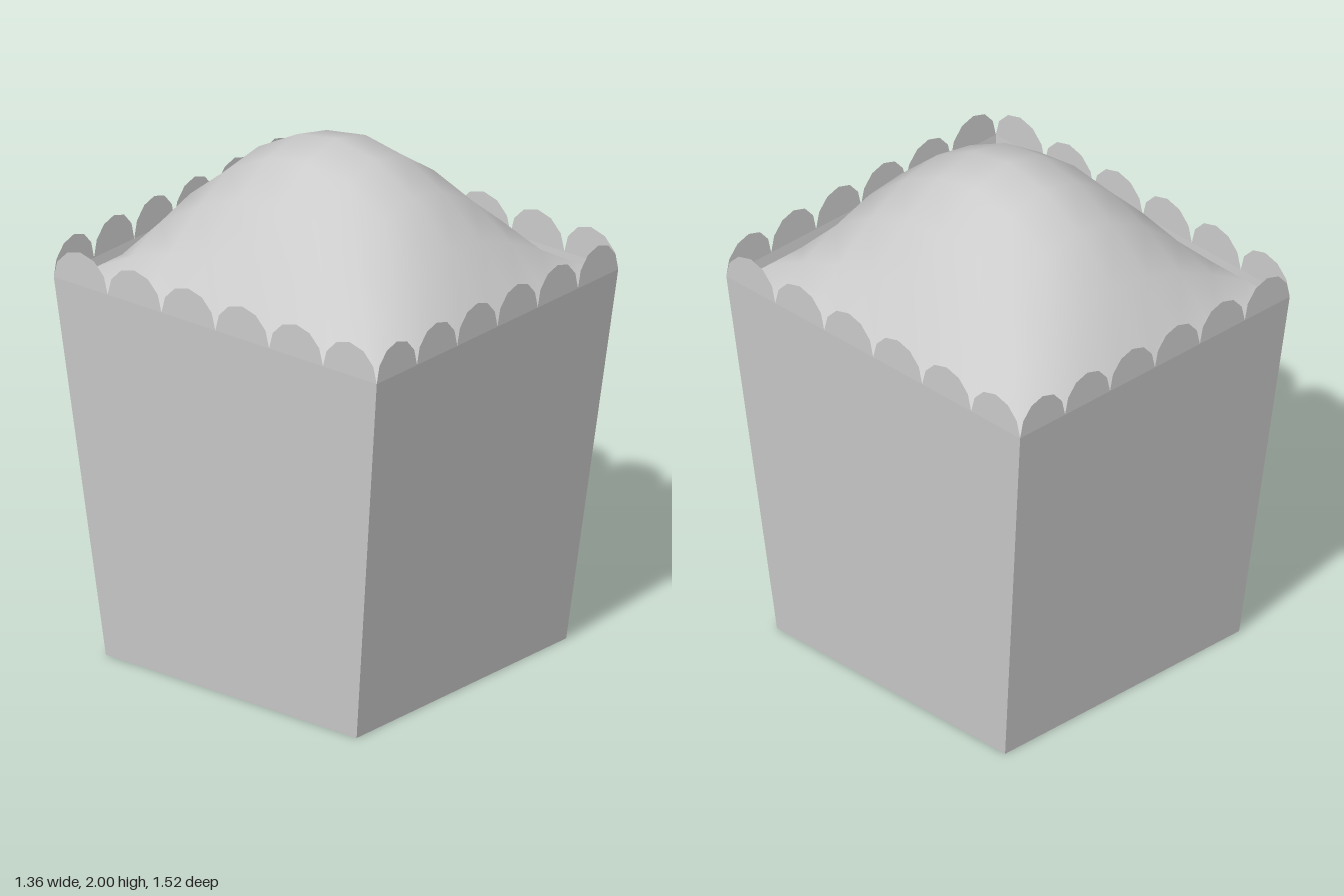
import * as THREE from 'three';

const RIM_Y = 1.47, SCALLOP_H = 0.13, SCALLOPS = 6;
const BASE = 0.59, TOP_X = 0.68, TOP_Z = 0.76;

const flat = new THREE.MeshStandardMaterial({ color: 0xcccccc, flatShading: true, side: THREE.DoubleSide });
const smooth = new THREE.MeshStandardMaterial({ color: 0xcccccc, side: THREE.DoubleSide });

function addPart(parent, name, geometry, material) {
  const mesh = new THREE.Mesh(geometry, material);
  mesh.name = name;
  parent.add(mesh);
  return mesh;
}

// Open four-sided tub that flares more to front and back than to the sides
function tubWalls() {
  const g = new THREE.CylinderGeometry(Math.SQRT2, Math.SQRT2, RIM_Y, 4, 1, true);
  g.rotateY(Math.PI / 4);
  g.translate(0, RIM_Y / 2, 0);
  const p = g.attributes.position;
  for (let i = 0; i < p.count; i++) {
    const top = p.getY(i) > RIM_Y / 2;
    p.setX(i, Math.sign(p.getX(i)) * (top ? TOP_X : BASE));
    p.setZ(i, Math.sign(p.getZ(i)) * (top ? TOP_Z : BASE));
  }
  g.computeVertexNormals();
  return g;
}

// Flat row of half-round scallops spanning -half..half
function scallopRow(half) {
  const r = half / SCALLOPS;
  const shapes = [];
  for (let i = 0; i < SCALLOPS; i++) {
    const cx = -half + r * (2 * i + 1);
    const pts = [];
    for (let k = 0; k <= 6; k++) {
      const a = (k * Math.PI) / 6;
      pts.push(new THREE.Vector2(cx + r * Math.cos(a), SCALLOP_H * Math.sin(a)));
    }
    shapes.push(new THREE.Shape(pts));
  }
  return new THREE.ShapeGeometry(shapes);
}

// Coarse grid raised into a smooth heap, level along its border
function heap() {
  const hx = 0.665, hz = 0.73, edgeY = 1.45;
  const g = new THREE.PlaneGeometry(2 * hx, 2 * hz, 8, 8);
  g.rotateX(-Math.PI / 2);
  const p = g.attributes.position;
  const arch = (t) => Math.max(0, Math.cos((t * Math.PI) / 2));
  for (let i = 0; i < p.count; i++) {
    const rise = arch(p.getX(i) / hx) * Math.pow(arch(p.getZ(i) / hz), 0.8);
    p.setY(i, edgeY + (2 - edgeY) * rise);
  }
  g.computeVertexNormals();
  return g;
}

export function createModel() {
  const model = new THREE.Group();
  model.name = 'popcornTub';

  addPart(model, 'tubWalls', tubWalls(), flat);

  // Floor, facing down
  const floor = new THREE.PlaneGeometry(2 * BASE, 2 * BASE);
  floor.rotateX(Math.PI / 2);
  addPart(model, 'tubFloor', floor, flat);

  // Upright scalloped rim on all four sides
  const rim = new THREE.Group();
  rim.name = 'scallopedRim';
  ['front', 'left', 'back', 'right'].forEach((side, i) => {
    const onX = i % 2 === 1;
    const g = scallopRow(onX ? TOP_Z : TOP_X);
    g.translate(0, RIM_Y, onX ? TOP_X : TOP_Z);
    g.rotateY((i * Math.PI) / 2);
    addPart(rim, side + 'Scallops', g, flat);
  });
  model.add(rim);

  addPart(model, 'popcornHeap', heap(), smooth);
  return model;
}
